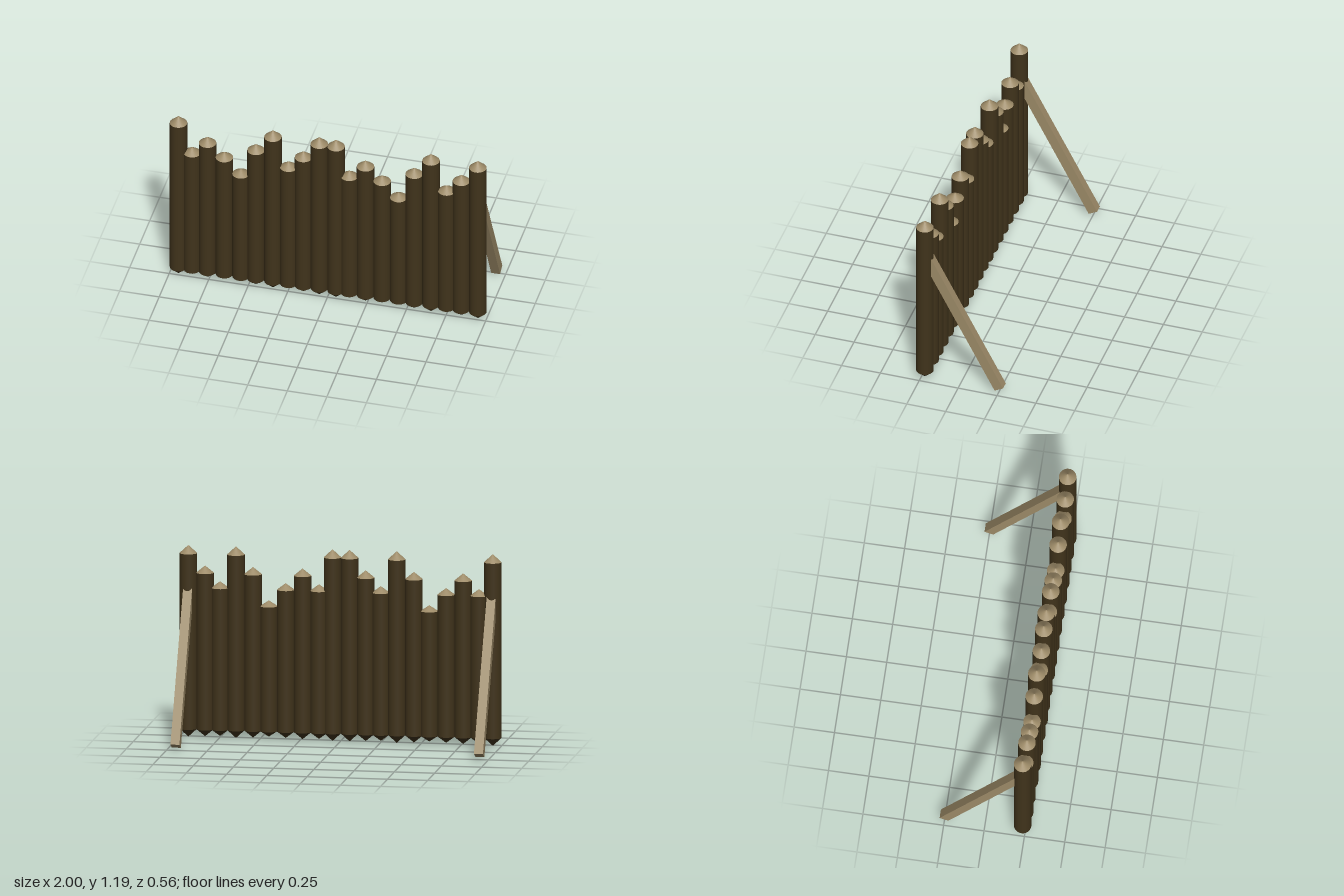
import * as THREE from 'three';

const bark = new THREE.MeshStandardMaterial({ color: 0x40331b });
const cutWood = new THREE.MeshStandardMaterial({ color: 0x9c8a67 });

const RADIUS = 0.054, SIDES = 24, WALL_Z = 0.231, SHOULDER = 0.052;

// One upright log: bark shaft, dark buried point and pale sharpened tip
function createLog(x, top) {
  const log = new THREE.Group();
  log.name = 'log';
  const point = 0.05 * (top - 0.05) / 1.145; // shorter logs have flatter points
  const shaftHeight = top - point - SHOULDER;

  const shaft = new THREE.Mesh(
    new THREE.CylinderGeometry(RADIUS, RADIUS, shaftHeight, SIDES, 1, true), bark);
  shaft.name = 'shaft';
  shaft.position.y = SHOULDER + shaftHeight / 2;

  const tip = new THREE.Mesh(new THREE.ConeGeometry(RADIUS, point, SIDES, 1, true), cutWood);
  tip.name = 'sharpenedTip';
  tip.position.y = top - point / 2;

  const foot = new THREE.Mesh(new THREE.ConeGeometry(RADIUS, point, SIDES, 1, true), bark);
  foot.name = 'buriedPoint';
  foot.rotation.x = Math.PI;
  foot.position.y = SHOULDER - point / 2;

  log.add(shaft, tip, foot);
  log.position.set(x, 0, WALL_Z);
  return log;
}

// Square prop leaning from the ground behind up into an end log
function createBrace(x) {
  const foot = new THREE.Vector3(x, 0.0285, -0.2525);
  const head = new THREE.Vector3(x, 0.942, 0.225);
  const dir = head.clone().sub(foot);
  const brace = new THREE.Mesh(new THREE.BoxGeometry(0.056, dir.length(), 0.061), cutWood);
  brace.name = 'brace';
  brace.position.copy(foot).add(head).multiplyScalar(0.5);
  brace.rotation.x = Math.atan2(dir.z, dir.y);
  return brace;
}

export function createModel() {
  const model = new THREE.Group();
  model.name = 'palisade';

  // Log centres and one half of the heights; the heights mirror about the middle
  const centres = [-0.946, -0.86, -0.762, -0.656, -0.551, -0.456, -0.349, -0.25, -0.156, -0.056,
    0.05, 0.134, 0.236, 0.341, 0.446, 0.544, 0.65, 0.749, 0.842, 0.946];
  const heights = [1.195, 0.975, 1.07, 0.975, 0.865, 1.07, 1.195, 0.975, 1.07, 1.195];
  const rightHalf = [1.195, 0.975, 1.07, 0.975, 0.865, 1.07, 1.195, 0.975, 1.07, 1.195];
  const tops = heights.concat(rightHalf);
  centres.forEach((x, i) => model.add(createLog(x, tops[i])));

  for (const side of [-1, 1]) model.add(createBrace(side * 0.943));
  return model;
}
